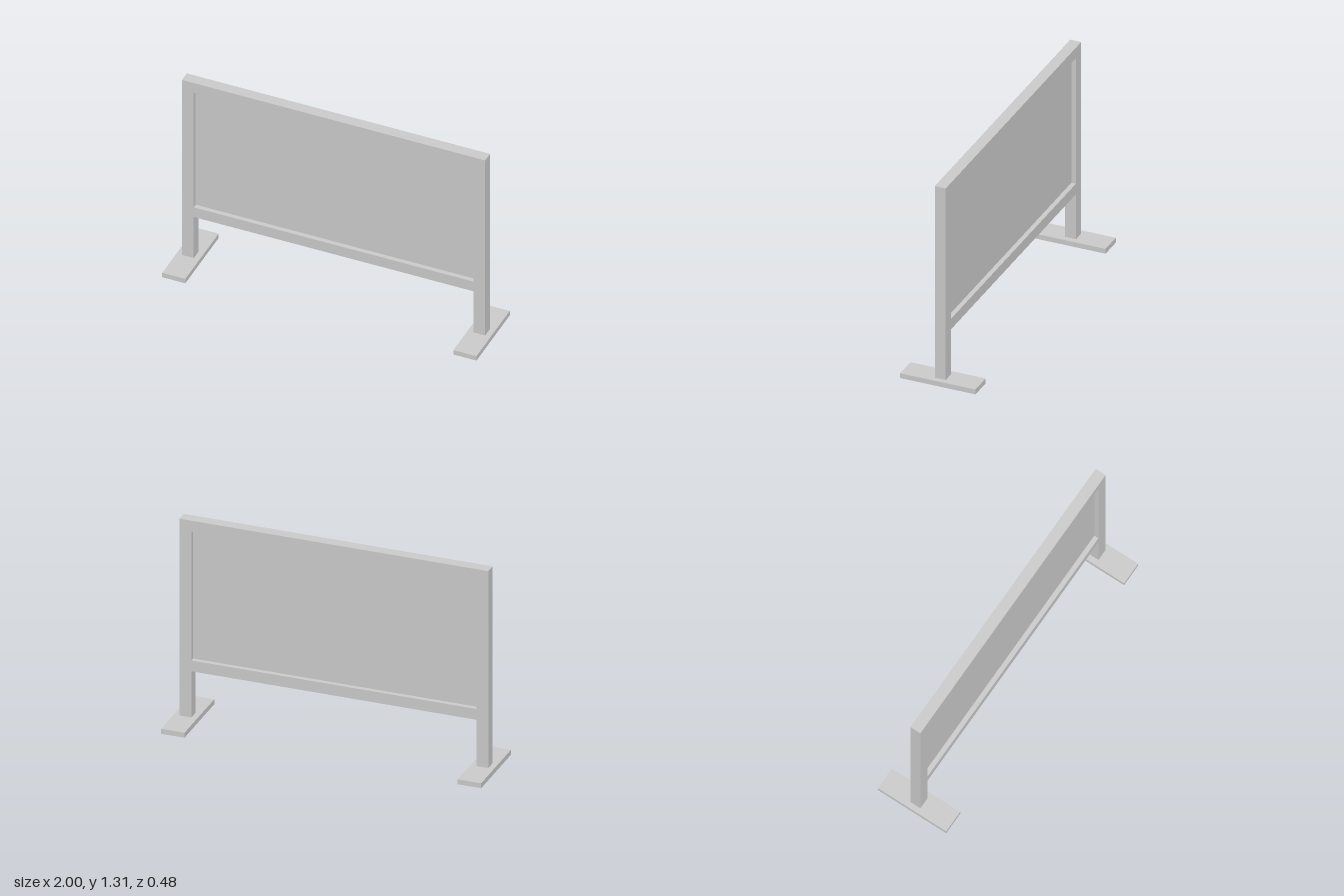
import * as THREE from 'three';

const material = new THREE.MeshStandardMaterial({ color: 0xcccccc, flatShading: true });

// Box given by its lower and upper limits on x and y, and its depth centred on z = 0
function addBox(parent, name, x0, x1, y0, y1, depth) {
  const mesh = new THREE.Mesh(new THREE.BoxGeometry(x1 - x0, y1 - y0, depth), material);
  mesh.position.set((x0 + x1) / 2, (y0 + y1) / 2, 0);
  mesh.name = name;
  parent.add(mesh);
}

export function createModel() {
  const model = new THREE.Group();
  model.name = 'freestandingBoard';

  const postIn = 0.89, postOut = 0.965;
  const footTop = 0.032, top = 1.306;
  const frameDepth = 0.07, railHeight = 0.07;

  // Posts and flat feet, mirrored left and right
  for (const [side, s] of [['left', 1], ['right', -1]]) {
    const span = (a, b) => (s > 0 ? [a, b] : [-b, -a]);
    addBox(model, side + 'Post', ...span(postIn, postOut), footTop, top, frameDepth);
    addBox(model, side + 'Foot', ...span(0.853, 1), 0, footTop, 0.48);
  }

  // Rails between the posts
  addBox(model, 'topRail', -postIn, postIn, top - railHeight, top, frameDepth);
  addBox(model, 'bottomRail', -postIn, postIn, 0.331, 0.331 + railHeight, frameDepth);

  // Thin panel recessed in the frame on both faces
  addBox(model, 'panel', -postIn, postIn, 0.331 + railHeight, top - railHeight, 0.012);

  return model;
}
